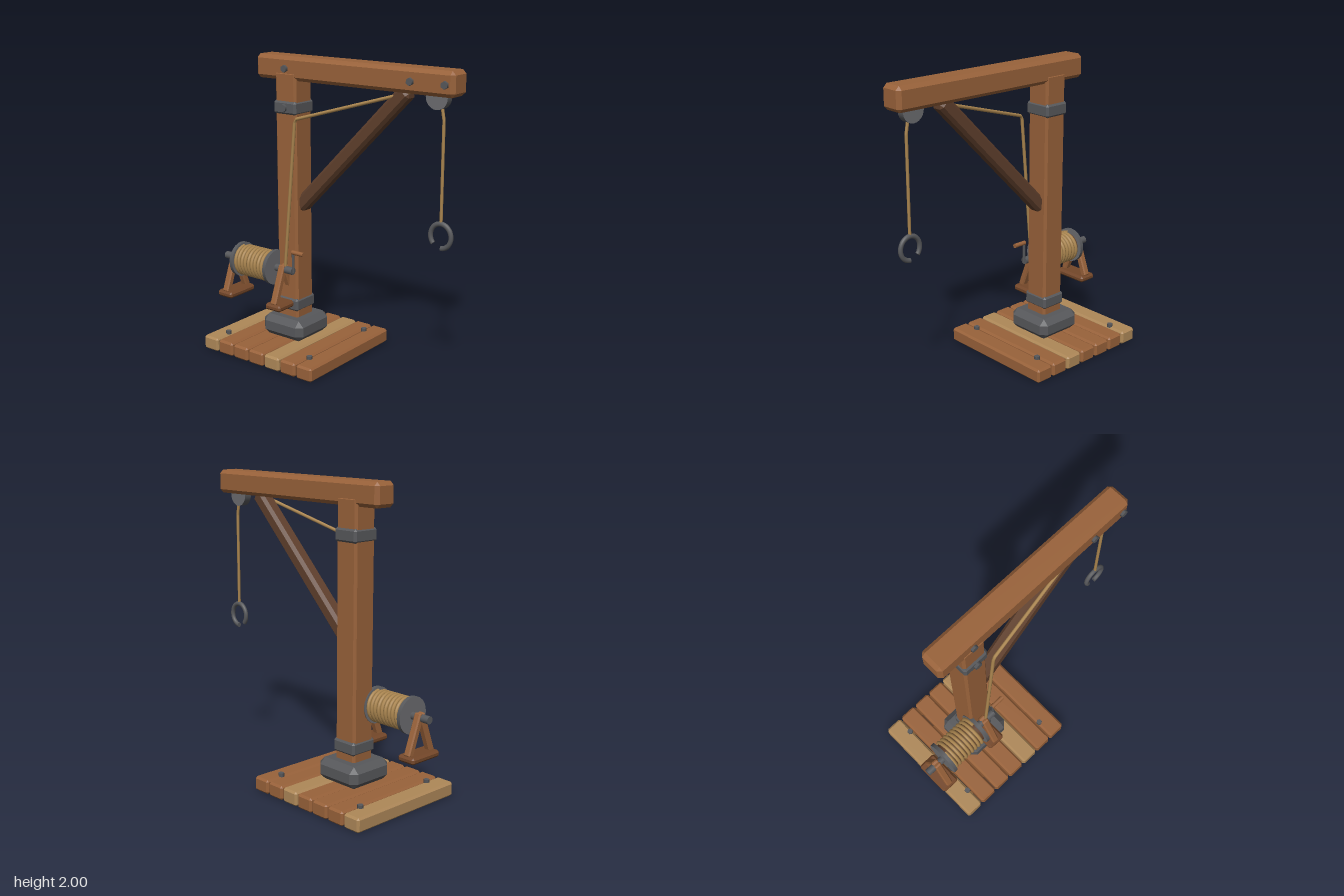
import * as THREE from 'three';
import { ConvexGeometry } from 'three/addons/geometries/ConvexGeometry.js';

const mat = (name, color) => {
  const m = new THREE.MeshStandardMaterial({ color });
  m.name = name;
  return m;
};

export function createModel() {
  const wood = mat('wood', 0x99623a);
  const paleWood = mat('paleWood', 0xae8858);
  const darkWood = mat('darkWood', 0x5f3f2c);
  const footWood = mat('footWood', 0x744729);
  const iron = mat('iron', 0x57585b);
  const wornIron = mat('wornIron', 0x6b6c6f);
  const rope = mat('rope', 0xaa854f);

  const model = new THREE.Group();
  model.name = 'dockCrane';

  const add = (name, geometry, material, x = 0, y = 0, z = 0, parent = model) => {
    const mesh = new THREE.Mesh(geometry, material);
    mesh.name = name;
    mesh.position.set(x, y, z);
    parent.add(mesh);
    return mesh;
  };

  // Box with every edge cut off by c
  const chamferBox = (w, h, d, c) => {
    const pts = [];
    for (const sx of [-1, 1]) for (const sy of [-1, 1]) for (const sz of [-1, 1]) {
      const [x, y, z] = [w / 2, h / 2, d / 2];
      pts.push(
        new THREE.Vector3(sx * x, sy * (y - c), sz * (z - c)),
        new THREE.Vector3(sx * (x - c), sy * y, sz * (z - c)),
        new THREE.Vector3(sx * (x - c), sy * (y - c), sz * z));
    }
    return new ConvexGeometry(pts);
  };

  // Cylinders lying along x or z
  const rodX = (r, len, sides = 16) => new THREE.CylinderGeometry(r, r, len, sides).rotateZ(Math.PI / 2);
  const rodZ = (r, len, sides = 16) => new THREE.CylinderGeometry(r, r, len, sides).rotateX(Math.PI / 2);

  // Rope made of straight runs
  const ropeRun = (name, points, r) => {
    const path = new THREE.CurvePath();
    const v = points.map(p => new THREE.Vector3(...p));
    for (let i = 1; i < v.length; i++) path.add(new THREE.LineCurve3(v[i - 1], v[i]));
    add(name, new THREE.TubeGeometry(path, 60, r, 8), rope);
  };

  // Plank platform with nails
  for (let i = 0; i < 7; i++) {
    add('plank', chamferBox(0.125, 0.095, 0.86, 0.013), i % 4 === 0 ? paleWood : wood,
      -0.768 + i * 0.1355, 0.0475, 0);
  }
  for (const x of [-0.72, -0.005]) for (const z of [-0.3, 0.3]) {
    add('nail', new THREE.CylinderGeometry(0.02, 0.02, 0.025, 6), iron, x, 0.102, z);
  }

  // Post, base block and bands
  const postX = -0.365;
  add('baseBlock', chamferBox(0.34, 0.145, 0.34, 0.04), iron, postX, 0.1715, 0);
  add('post', chamferBox(0.17, 1.7, 0.17, 0.015), wood, postX, 1.05, 0);
  for (const y of [0.332, 1.67]) {
    add('band', chamferBox(0.184, 0.088, 0.194, 0.014), iron, postX, y, 0);
    add('bandBolt', rodZ(0.027, 0.03, 6), iron, postX, y, 0.1);
  }

  // Beam with bolts
  add('beam', chamferBox(1.495, 0.155, 0.162, 0.024), wood, 0.1325, 1.9225, 0);
  for (const x of [postX, 0.588, 0.825]) {
    add('beamBolt', rodZ(0.024, 0.03, 6), iron, x, 1.92, 0.083);
  }

  // Diagonal brace
  const brace = add('brace', chamferBox(1.19, 0.095, 0.1, 0.02), darkWood, 0.11, 1.432, 0);
  brace.rotation.z = Math.atan2(0.805, 0.79);

  // Pulley under the beam
  add('pulley', rodZ(0.075, 0.05, 24), [iron, wornIron, wornIron], 0.735, 1.835, 0);

  // Winch drum, axle and wound rope
  const wy = 0.585, wz = 0.12;
  add('axle', rodX(0.025, 0.6), iron, -0.585, wy, wz);
  add('drum', rodX(0.09, 0.29, 24), darkWood, -0.59, wy, wz);
  for (const x of [-0.738, -0.442]) {
    add('drumFlange', rodX(0.12, 0.025, 24), [iron, wornIron, wornIron], x, wy, wz);
  }
  const turns = 9, coilPoints = [];
  for (let i = 0; i <= turns * 16; i++) {
    const a = (i / 16) * Math.PI * 2;
    coilPoints.push(new THREE.Vector3(-0.72 + 0.26 * i / (turns * 16), wy + 0.097 * Math.cos(a), wz + 0.097 * Math.sin(a)));
  }
  add('woundRope', new THREE.TubeGeometry(new THREE.CatmullRomCurve3(coilPoints), turns * 24, 0.0125, 8), rope);

  // Winch stands: a foot board and two leaning legs each
  for (const x of [-0.805, -0.37]) {
    const stand = new THREE.Group();
    stand.name = 'winchStand';
    stand.position.set(x, 0, wz);
    model.add(stand);
    add('foot', chamferBox(0.13, 0.045, 0.25, 0.014), footWood, 0, 0.342, 0, stand);
    for (const s of [-1, 1]) {
      const leg = add('leg', chamferBox(0.048, 0.275, 0.045, 0.008), wood, 0, 0.484, s * 0.05, stand);
      leg.rotation.x = -s * 0.36;
    }
  }

  // Crank
  add('crankArm', new THREE.CylinderGeometry(0.009, 0.009, 0.15, 8), iron, -0.284, 0.652, wz);
  add('crankHandle', rodX(0.015, 0.095, 10), wood, -0.243, 0.717, wz);

  // Hoisting rope and hanging rope
  ropeRun('hoistRope', [[-0.352, 0.6, wz], [-0.256, 1.61, wz], [0.735, 1.9, 0]], 0.011);
  ropeRun('hangingRope', [[0.748, 1.84, 0], [0.774, 1.7, 0], [0.774, 1.07, 0]], 0.01);

  // Open ring hook with closed ends
  const hook = new THREE.Group();
  hook.name = 'hook';
  hook.position.set(0.774, 0.996, 0);
  model.add(hook);
  const start = -1.52, arc = 5.4, ringR = 0.072, tubeR = 0.015;
  const ring = add('hookRing', new THREE.TorusGeometry(ringR, tubeR, 10, 32, arc), iron, 0, 0, 0, hook);
  ring.rotation.z = start;
  hook.scale.y = 1.07;
  for (const [a, flip] of [[start, Math.PI / 2], [start + arc, -Math.PI / 2]]) {
    const cap = add('hookEnd', new THREE.CircleGeometry(tubeR, 10).rotateX(flip), iron,
      ringR * Math.cos(a), ringR * Math.sin(a), 0, hook);
    cap.rotation.z = a;
  }

  return model;
}
